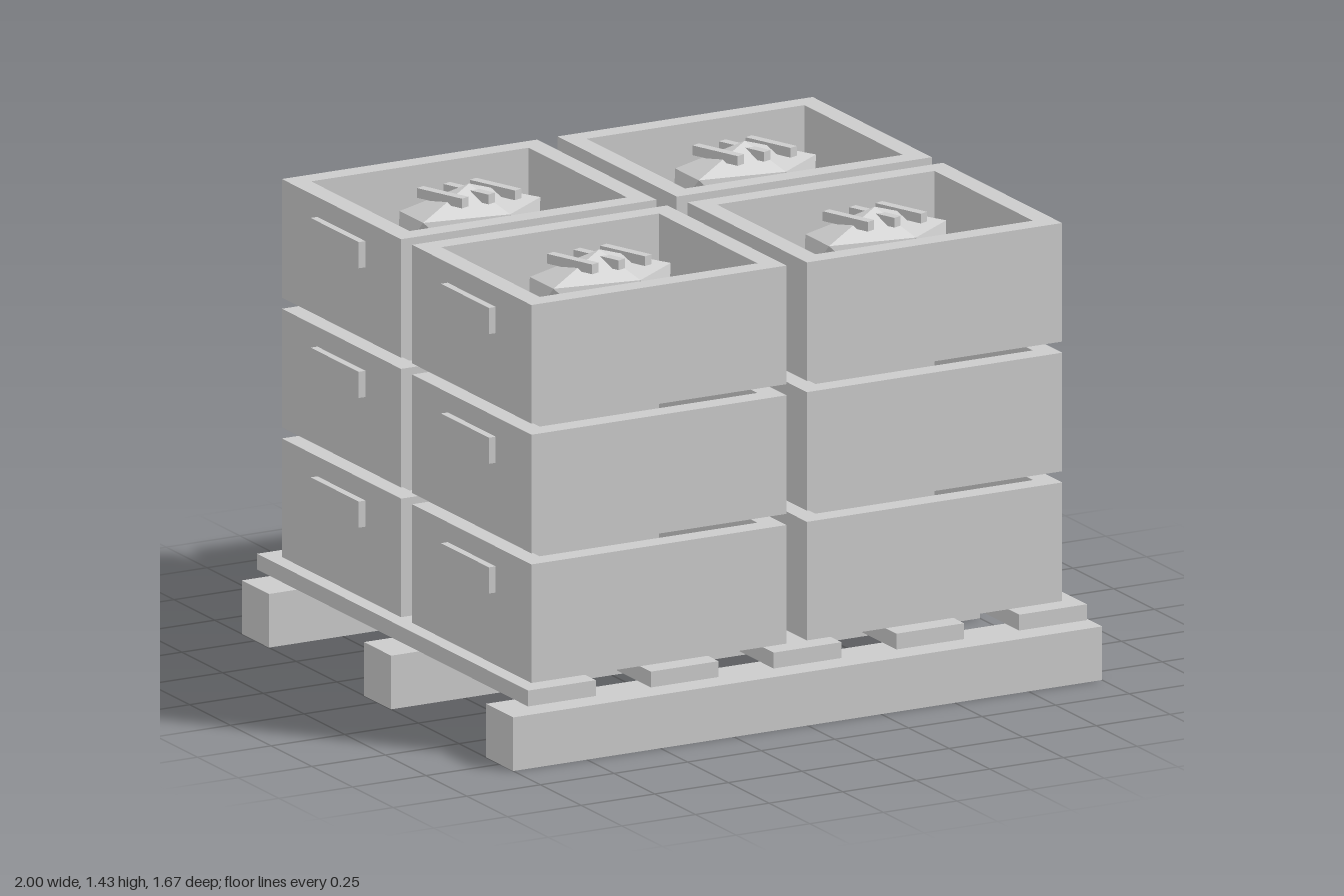
import * as THREE from 'three';
import { ConvexGeometry } from 'three/addons/geometries/ConvexGeometry.js';

const material = new THREE.MeshStandardMaterial({ color: 0xcccccc, flatShading: true });

function add(parent, name, geometry, x = 0, y = 0, z = 0) {
  const mesh = new THREE.Mesh(geometry, material);
  mesh.name = name;
  mesh.position.set(x, y, z);
  parent.add(mesh);
  return mesh;
}

const box = (w, h, d) => new THREE.BoxGeometry(w, h, d);

// Crate size
const W = 0.867, H = 0.367, D = 0.732, WALL = 0.064, FLOOR = 0.06;

function rectangle(target, w, d) {
  target.moveTo(-w / 2, -d / 2);
  target.lineTo(w / 2, -d / 2);
  target.lineTo(w / 2, d / 2);
  target.lineTo(-w / 2, d / 2);
  target.closePath();
  return target;
}

// Open crate, standing on its local y = 0, with a grip on each end
function createCrate() {
  const crate = new THREE.Group();
  crate.name = 'crate';
  const outline = rectangle(new THREE.Shape(), W, D);
  outline.holes.push(rectangle(new THREE.Path(), W - 2 * WALL, D - 2 * WALL));
  const walls = new THREE.ExtrudeGeometry(outline, { depth: H, bevelEnabled: false });
  walls.rotateX(-Math.PI / 2);
  add(crate, 'crateWalls', walls);
  add(crate, 'crateFloor', box(W - 2 * WALL, FLOOR, D - 2 * WALL), 0, FLOOR / 2, 0);
  for (const side of [-1, 1]) {
    add(crate, 'crateHandle', box(0.046, 0.081, 0.295), side * W / 2, 0.265, 0);
  }
  return crate;
}

// Faceted ball: two poles and two staggered rings of five, stretched along x
function createBall() {
  const ball = new THREE.Group();
  ball.name = 'ball';
  const rx = 0.271, ry = 0.138, rz = 0.138;
  const points = [new THREE.Vector3(0, ry, 0), new THREE.Vector3(0, -ry, 0)];
  for (let i = 0; i < 10; i++) {
    const a = i * Math.PI / 5;
    const level = i % 2 ? -0.447 : 0.447;
    points.push(new THREE.Vector3(0.894 * rx * Math.cos(a), level * ry, 0.894 * rz * Math.sin(a)));
  }
  add(ball, 'ballBody', new ConvexGeometry(points));
  // Slanted laces across the top
  for (const i of [-1, 0, 1]) {
    add(ball, 'ballLace', box(0.029, 0.03, 0.176), i * 0.09, 0.108, 0).rotation.y = 0.36;
  }
  return ball;
}

export function createModel() {
  const model = new THREE.Group();
  model.name = 'palletOfCrates';

  // Pallet: three runners along x, five planks along z
  const pallet = new THREE.Group();
  pallet.name = 'pallet';
  model.add(pallet);
  for (const i of [-1, 0, 1]) {
    add(pallet, 'palletRunner', box(2, 0.166, 0.166), 0, 0.083, i * 0.75);
  }
  for (let i = -2; i <= 2; i++) {
    add(pallet, 'palletPlank', box(0.23, 0.049, 1.664), i * 0.417, 0.217, 0);
  }

  // Four stacks of three crates, with a ball in each top crate
  for (const sx of [-1, 1]) {
    for (const sz of [-1, 1]) {
      const stack = new THREE.Group();
      stack.name = 'crateStack';
      stack.position.set(sx * 0.468, 0, sz * 0.4);
      for (let level = 0; level < 3; level++) {
        const crate = createCrate();
        crate.position.y = 0.2415 + level * 0.4015;
        stack.add(crate);
      }
      const ball = createBall();
      ball.position.y = 1.292;
      stack.add(ball);
      model.add(stack);
    }
  }
  return model;
}
